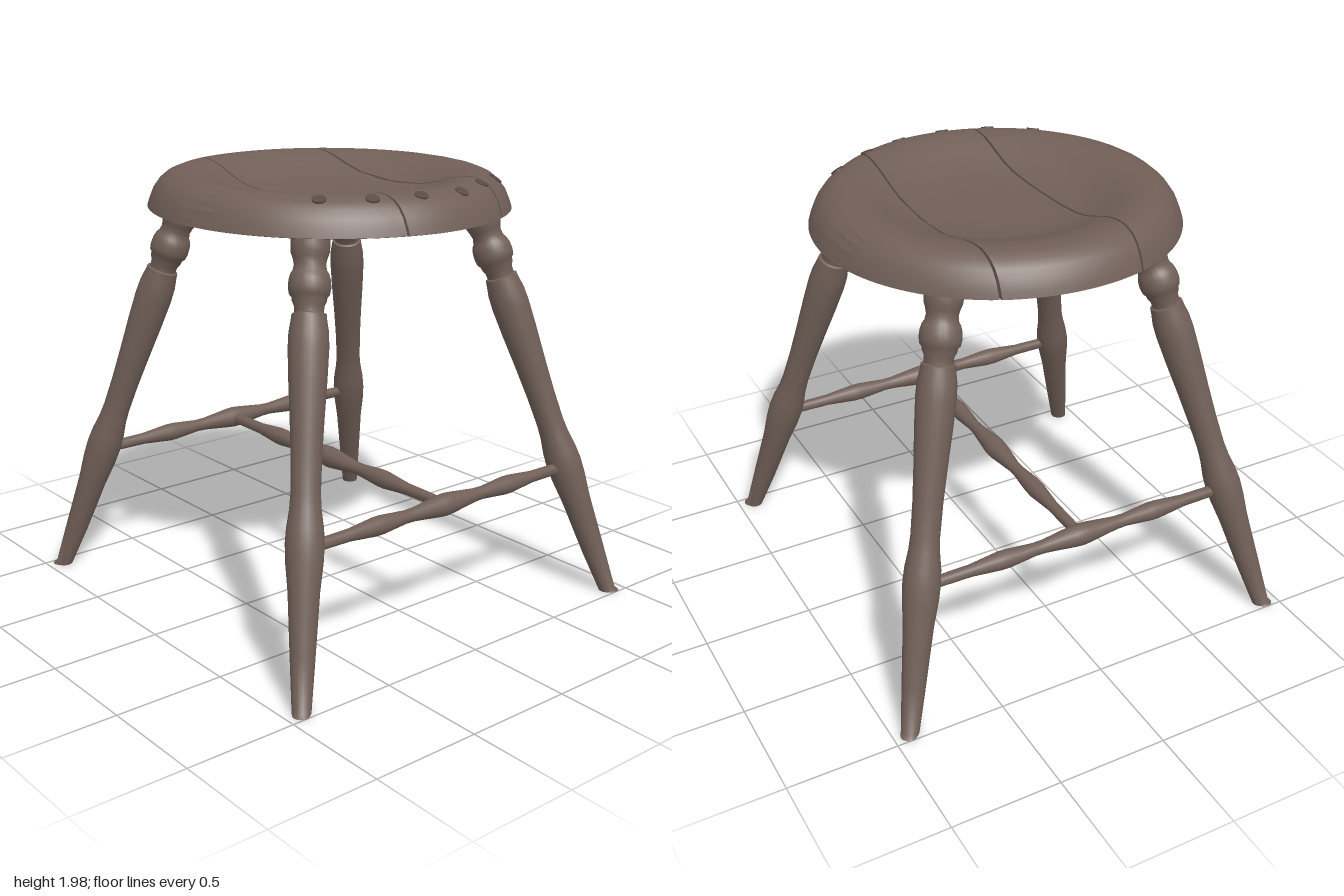
import * as THREE from 'three';
import { toCreasedNormals } from 'three/addons/utils/BufferGeometryUtils.js';

const wood = new THREE.MeshStandardMaterial({ color: 0x705f57 });
wood.name = 'brown wood';
const holeWood = new THREE.MeshStandardMaterial({ color: 0x5a4b45 });
holeWood.name = 'dark brown wood';

const RIM = 0.812;
// Seat section: radius, top height, underside height
const SEAT = [
  [0, 1.87, 1.79], [0.1, 1.87, 1.79], [0.2, 1.872, 1.79], [0.28, 1.876, 1.79], [0.36, 1.885, 1.79],
  [0.42, 1.9, 1.79], [0.48, 1.924, 1.79], [0.54, 1.95, 1.79], [0.58, 1.963, 1.79], [0.62, 1.971, 1.797],
  [0.66, 1.973, 1.812], [0.69, 1.969, 1.816], [0.73, 1.953, 1.817], [0.76, 1.928, 1.818],
  [0.785, 1.893, 1.818], [0.803, 1.85, 1.819], [RIM, 1.822, 1.822],
];

function seatHeight(r, side) {
  let i = 1;
  while (i < SEAT.length - 1 && SEAT[i][0] < r) i++;
  const a = SEAT[i - 1], b = SEAT[i];
  return THREE.MathUtils.lerp(a[side], b[side], Math.min(1, (r - a[0]) / (b[0] - a[0])));
}
const tilt = (z) => -0.01 * z;

// One seat board, lofted across x; a and b are its edges, sa and sb their slants
function board(a, sa, b, sb) {
  const steps = 22, loops = [];
  const ta = Math.asin(a / RIM), tb = Math.asin(b / RIM);
  const signed = [...SEAT.slice(1).reverse().map((p) => -p[0]), ...SEAT.map((p) => p[0])];
  for (let i = 0; i <= steps; i++) {
    const x = RIM * Math.sin(THREE.MathUtils.lerp(ta, tb, i / steps));
    const slant = THREE.MathUtils.lerp(sa, sb, (x - a) / (b - a));
    const row = (side) => signed.map((s) => {
      const r = Math.max(Math.abs(s), Math.abs(x));
      const z = Math.sign(s) * Math.sqrt(Math.max(0, r * r - x * x));
      return [x + slant * z, seatHeight(r, side) + tilt(z), z];
    });
    loops.push([...row(1), ...row(2).reverse()]);
  }
  const pos = [], n = loops[0].length;
  const quad = (p, q, r, s) => pos.push(...p, ...q, ...r, ...p, ...r, ...s);
  for (let i = 0; i < steps; i++) {
    for (let j = 0; j < n; j++) {
      const k = (j + 1) % n;
      quad(loops[i][j], loops[i][k], loops[i + 1][k], loops[i + 1][j]);
    }
  }
  // Sawn edges of the board
  const first = loops[0], last = loops[steps];
  for (let j = 0; j < n / 2 - 1; j++) {
    quad(last[j], last[j + 1], last[n - 2 - j], last[n - 1 - j]);
    quad(first[j], first[n - 1 - j], first[n - 2 - j], first[j + 1]);
  }
  const g = new THREE.BufferGeometry();
  g.setAttribute('position', new THREE.Float32BufferAttribute(pos, 3));
  return toCreasedNormals(g, 0.7);
}

function turned(points, segments) {
  const g = new THREE.LatheGeometry(points.map(([r, y]) => new THREE.Vector2(r, y)), segments);
  return toCreasedNormals(g, 0.7);
}

function add(parent, name, geometry, material = wood) {
  const m = new THREE.Mesh(geometry, material);
  m.name = name;
  parent.add(m);
  return m;
}

export function createModel() {
  const group = new THREE.Group();
  group.name = 'stool';

  // Seat of three boards with narrow gaps
  const gap = 0.005;
  add(group, 'seatBoardRight', board(-RIM, 0, -0.242 - gap, 0.023));
  add(group, 'seatBoardMiddle', board(-0.242 + gap, 0.023, 0.36 - gap, -0.0066));
  add(group, 'seatBoardLeft', board(0.36 + gap, -0.0066, RIM, 0));

  // Peg holes along the front rim, seen above and below
  const up = new THREE.Vector3(0, 1, 0);
  const disc = new THREE.CylinderGeometry(0.03, 0.03, 0.008, 16);
  for (const [x, z] of [[-0.48, 0.52], [-0.3, 0.64], [-0.09, 0.7], [0.13, 0.71], [0.325, 0.63], [0.52, 0.52]]) {
    const r = Math.hypot(x, z);
    for (const side of [1, 2]) {
      const slope = (seatHeight(r + 0.025, side) - seatHeight(r - 0.025, side)) / 0.05;
      const hole = add(group, side === 1 ? 'pegHoleTop' : 'pegHoleBottom', disc, holeWood);
      hole.position.set(x, seatHeight(r, side) + tilt(z), z);
      hole.quaternion.setFromUnitVectors(up, new THREE.Vector3(-slope * x / r, 1, -slope * z / r).normalize());
    }
  }

  // Splayed turned legs: radius and height along the profile
  const profile = [
    [0, -0.06], [0.036, -0.06], [0.04, 0], [0.052, 0.2], [0.066, 0.45], [0.078, 0.56], [0.081, 0.63], [0.077, 0.69],
    [0.066, 0.76], [0.062, 0.82], [0.064, 0.95], [0.071, 1.1], [0.08, 1.25], [0.085, 1.37], [0.083, 1.43],
    [0.074, 1.48], [0.072, 1.5], [0.061, 1.505], [0.062, 1.53], [0.072, 1.55], [0.074, 1.565], [0.084, 1.575],
    [0.089, 1.6], [0.087, 1.63], [0.079, 1.655], [0.071, 1.665], [0.066, 1.69], [0.072, 1.715],
    [0.08, 1.735], [0.082, 1.76], [0.081, 1.81], [0, 1.81],
  ];
  const foot = new THREE.Vector3(0.92, 0, 0.95);
  const axis = new THREE.Vector3(0.478, 1.8, 0.462).sub(foot);
  const stretch = axis.length() / 1.8;
  for (const sx of [1, -1]) {
    for (const sz of [1, -1]) {
      const g = turned(profile.map(([r, y]) => [r, y * stretch]), 24);
      const dir = new THREE.Vector3(axis.x * sx, axis.y, axis.z * sz).normalize();
      g.applyQuaternion(new THREE.Quaternion().setFromUnitVectors(up, dir));
      g.translate(foot.x * sx, 0, foot.z * sz);
      // Trim the foot level with the floor
      const p = g.attributes.position;
      for (let i = 0; i < p.count; i++) if (p.getY(i) < 0) p.setY(i, 0);
      add(group, (sz > 0 ? 'front' : 'back') + (sx > 0 ? 'Left' : 'Right') + 'Leg', toCreasedNormals(g, 0.7));
    }
  }

  // Stretchers: front, back and the cross piece joining them
  const half = [[0.05, 0], [0.048, 0.03], [0.03, 0.18], [0.029, 0.23], [0.041, 0.36], [0.041, 0.4], [0.027, 0.54], [0.025, 0.77]];
  const rod = turned([...half.slice(1).reverse().map(([r, y]) => [r, -y]), ...half], 16);
  for (const sz of [1, -1]) {
    const s = add(group, sz > 0 ? 'frontStretcher' : 'backStretcher', rod);
    s.rotation.z = Math.PI / 2;
    s.position.set(0, 0.61, 0.785 * sz);
  }
  const cross = add(group, 'crossStretcher', rod);
  cross.rotation.x = Math.PI / 2;
  cross.position.y = 0.61;

  return group;
}
